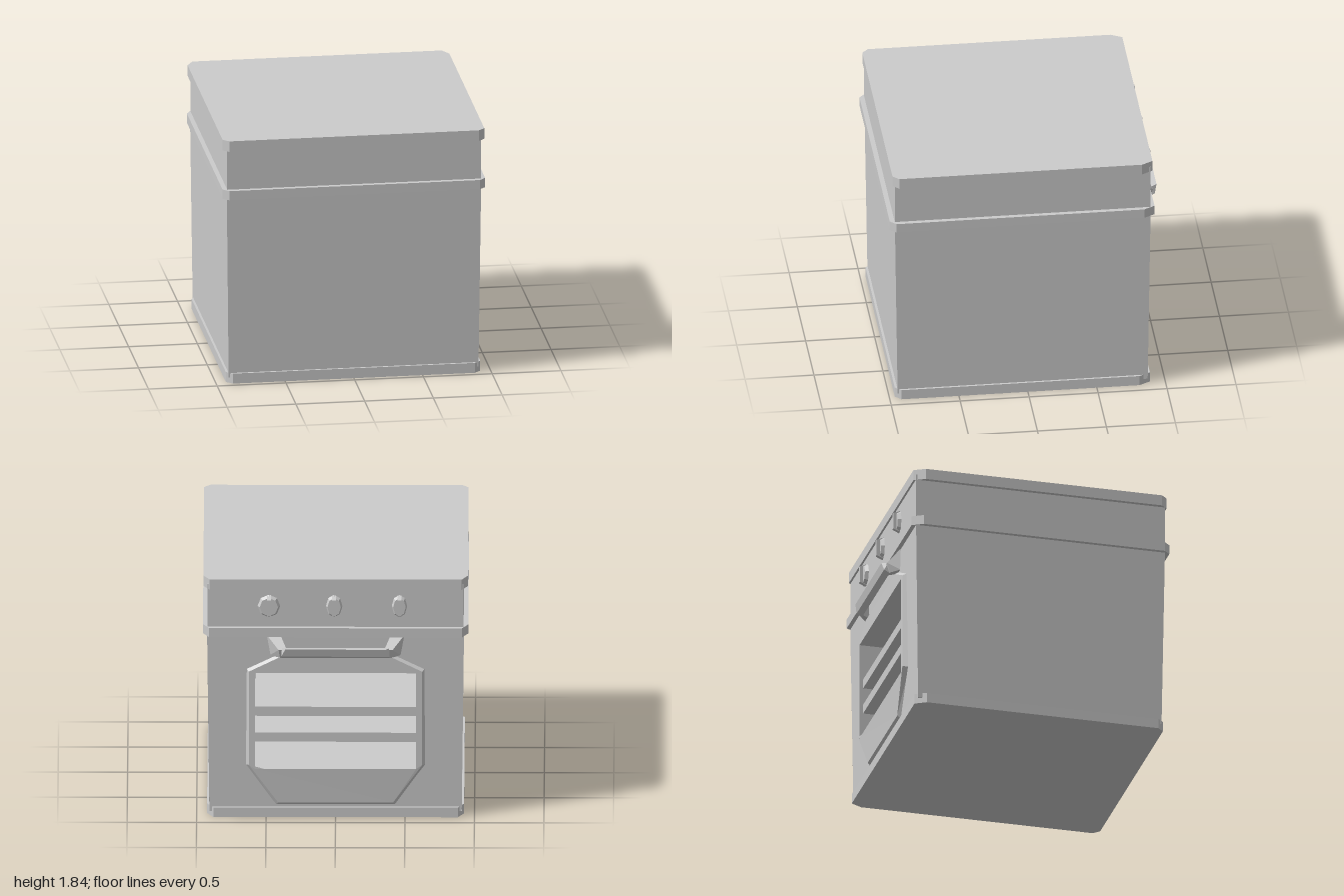
import * as THREE from 'three';
import { ConvexGeometry } from 'three/addons/geometries/ConvexGeometry.js';

const mat = new THREE.MeshStandardMaterial({ color: 0xcccccc, flatShading: true, side: THREE.DoubleSide });

function add(parent, name, geometry) {
  const mesh = new THREE.Mesh(geometry, mat);
  mesh.name = name;
  parent.add(mesh);
  return mesh;
}

// Box given by its limits
function block(x0, x1, y0, y1, z0, z1) {
  return new THREE.BoxGeometry(x1 - x0, y1 - y0, z1 - z0)
    .translate((x0 + x1) / 2, (y0 + y1) / 2, (z0 + z1) / 2);
}

// Box without its -z face
function openBack(geometry) {
  geometry.setIndex(Array.from(geometry.index.array).slice(0, 30));
  geometry.clearGroups();
  return geometry;
}

function moveVertices(geometry, rule) {
  const p = geometry.attributes.position;
  const v = new THREE.Vector3();
  for (let i = 0; i < p.count; i++) {
    v.fromBufferAttribute(p, i);
    rule(v);
    p.setXYZ(i, v.x, v.y, v.z);
  }
  geometry.computeVertexNormals();
  return geometry;
}

const polygon = pts => pts.map(([x, y]) => new THREE.Vector2(x, y));

// Horizontal slab with cut corners, front cuts smaller than back cuts
function slab(hx, back, front, y0, y1) {
  const c = 0.045, b = 0.08;
  const shape = new THREE.Shape(polygon([
    [-hx + c, -front], [hx - c, -front], [hx, -front + c], [hx, -back - b],
    [hx - c, -back], [-hx + c, -back], [-hx, -back - b], [-hx, -front + c]
  ]));
  return new THREE.ExtrudeGeometry(shape, { depth: y1 - y0, bevelEnabled: false })
    .rotateX(-Math.PI / 2).translate(0, y0, 0);
}

const OPEN = { x: 0.58, y0: 0.38, y1: 1.12 };
const openingPath = () => new THREE.Path(polygon([
  [-OPEN.x, OPEN.y0], [-OPEN.x, OPEN.y1], [OPEN.x, OPEN.y1], [OPEN.x, OPEN.y0]
]));
const bodyBack = y => -0.87 - 0.02 * y / 1.44;

export function createModel() {
  const oven = new THREE.Group();
  oven.name = 'oven';

  // Slightly tapered body, open where the door wall goes
  add(oven, 'body', moveVertices(openBack(block(-1, 1, 0.04, 1.44, -1, 1)), v => {
    const t = v.y / 1.44;
    v.x *= 0.908 + 0.017 * t;
    v.z = v.z < 0 ? bodyBack(v.y) : 0.942 + 0.022 * t;
  }));

  // Door wall with the oven opening
  const wall = new THREE.Shape(polygon([[-0.908, 0.04], [0.908, 0.04], [0.925, 1.44], [-0.925, 1.44]]));
  wall.holes.push(openingPath());
  add(oven, 'doorWall', moveVertices(new THREE.ShapeGeometry(wall), v => { v.z = bodyBack(v.y); }));

  // Control section and the three slabs around the body
  add(oven, 'controlSection', block(-0.922, 0.922, 1.44, 1.8, -0.89, 0.965));
  add(oven, 'baseTrim', slab(0.925, -0.89, 0.96, 0, 0.075));
  add(oven, 'middleTrim', slab(0.955, -0.92, 1.0, 1.4, 1.47));
  add(oven, 'topPlate', slab(0.952, -0.905, 0.98, 1.76, 1.84));

  // Eight-sided door frame with sloped outer edge
  const door = new THREE.Shape(polygon([
    [-0.43, 0.09], [0.43, 0.09], [0.65, 0.4], [0.65, 1.15],
    [0.43, 1.26], [-0.43, 1.26], [-0.65, 1.15], [-0.65, 0.4]
  ]));
  door.holes.push(openingPath());
  const doorGeometry = new THREE.ExtrudeGeometry(door, { depth: 0.045, bevelEnabled: false }).translate(0, 0, -0.912);
  add(oven, 'doorFrame', moveVertices(doorGeometry, v => {
    const outer = Math.abs(v.x) > OPEN.x + 0.01 || v.y < OPEN.y0 - 0.01 || v.y > OPEN.y1 + 0.01;
    if (outer && v.z < -0.9) {
      v.x *= 0.96;
      v.y = 0.68 + (v.y - 0.68) * 0.96;
      if (v.y < 0.2) v.z = -0.895;
    }
  }));

  // Oven cavity and shelves
  add(oven, 'cavity', openBack(block(-OPEN.x, OPEN.x, OPEN.y0, OPEN.y1, -0.88, 0.7)));
  [[0.58, 0.65], [0.78, 0.85]].forEach(([y0, y1]) =>
    add(oven, 'shelf', block(-OPEN.x, OPEN.x, y0, y1, -0.885, 0.69)));

  // Handle: angular bar carried by two flared brackets
  const handle = new THREE.Group();
  handle.name = 'handle';
  oven.add(handle);
  const section = [[-0.955, 1.33], [-1.0, 1.335], [-0.985, 1.275], [-0.945, 1.25]];
  const bar = [];
  for (const x of [-0.39, 0.39]) for (const [z, y] of section) bar.push(new THREE.Vector3(x * (z < -0.99 ? 0.93 : 1), y, z));
  add(handle, 'handleBar', new ConvexGeometry(bar));
  for (const s of [-1, 1]) {
    const pts = [
      [0.4, 1.41, -0.885], [0.5, 1.41, -0.885], [0.4, 1.25, -0.885], [0.47, 1.25, -0.885],
      [0.35, 1.32, -0.97], [0.41, 1.32, -0.97], [0.35, 1.25, -0.945], [0.4, 1.25, -0.945]
    ];
    add(handle, 'handleBracket', new ConvexGeometry(pts.map(([x, y, z]) => new THREE.Vector3(s * x, y, z))));
  }

  // Eight-sided knobs with an upright grip
  [[0.48, 0.085], [0.01, 0.062], [-0.46, 0.058]].forEach(([x, rx]) => {
    const knob = new THREE.Group();
    knob.name = 'knob';
    knob.position.set(x, 1.63, -0.885);
    oven.add(knob);
    add(knob, 'knobDisc', new THREE.CylinderGeometry(0.07, 0.09, 0.03, 8)
      .rotateX(-Math.PI / 2).scale(rx / 0.09, 1, 1).translate(0, 0, -0.015));
    add(knob, 'knobGrip', moveVertices(block(-0.014, 0.014, -0.085, 0.085, -0.055, 0), v => {
      if (v.z < -0.03) v.y *= 0.72;
    }));
  });

  return oven;
}
